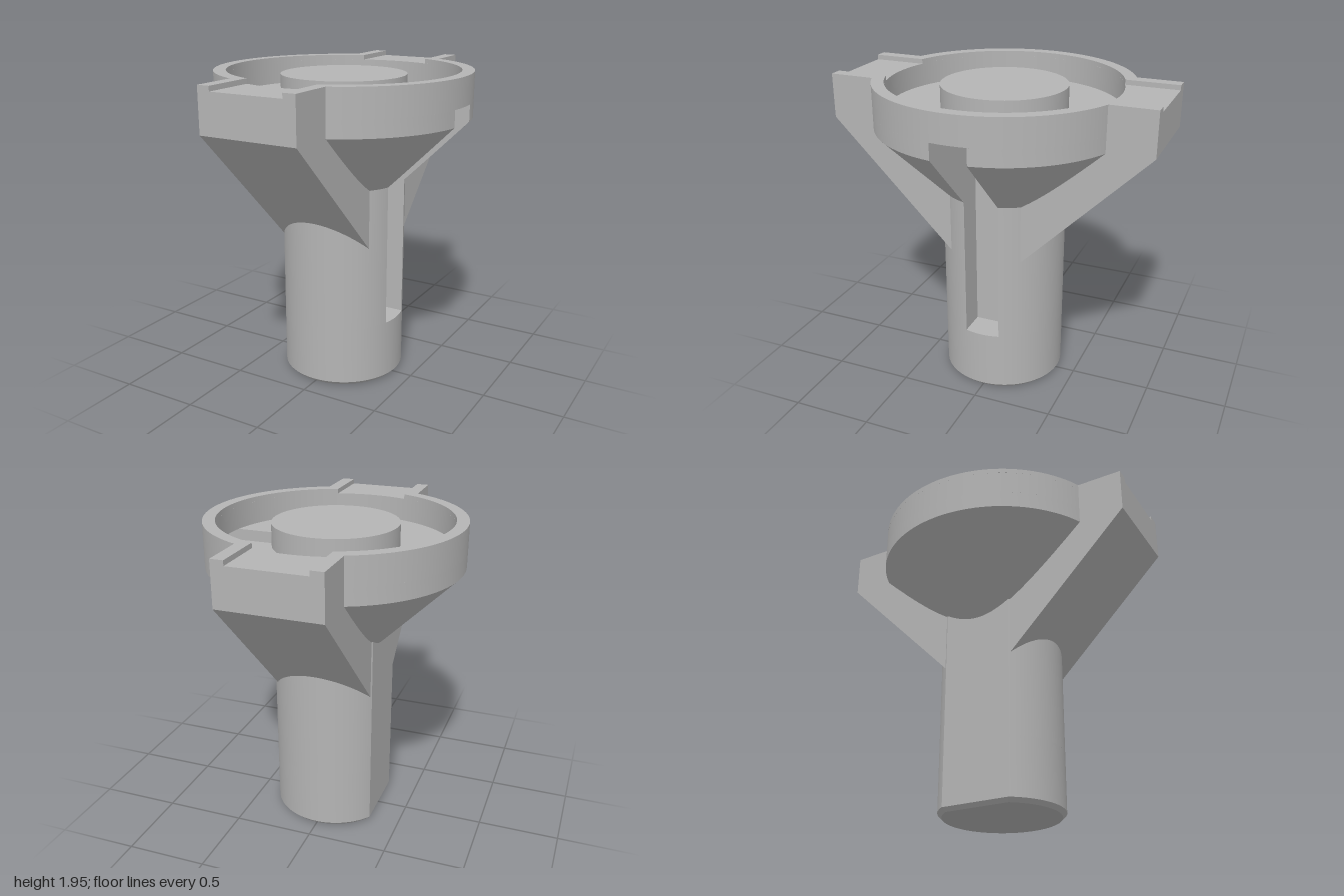
import * as THREE from 'three';
import { toCreasedNormals } from 'three/addons/utils/BufferGeometryUtils.js';

const R = 0.385, FLAT = 0.315;              // stem radius, distance to its flat
const RO = 0.785, RI = 0.71;                // cup rim radii
const SLOT = 0.11, SLOT_X = 0.2;            // slot half width, slot back wall
const Y_SLOT = 0.39, Y_RIM = 1.675, Y_FLOOR = 1.777, Y_NOTCH = 1.92, Y_TOP = 1.95;
const WING = 0.308, NOTCH = 0.23;           // half widths
const SEG = 96;

export function createModel() {
  const group = new THREE.Group();
  const grey = new THREE.MeshStandardMaterial({ color: 0xb4b4b4, side: THREE.DoubleSide });
  grey.name = 'plain grey';

  const add = (name, geometry) => {
    const mesh = new THREE.Mesh(geometry, grey);
    mesh.name = name;
    group.add(mesh);
    return mesh;
  };

  // Plan shape (x, -z) raised from y0 to y1
  const raise = (shape, y0, y1) => {
    const g = new THREE.ExtrudeGeometry(shape, { depth: y1 - y0, bevelEnabled: false, curveSegments: 64 });
    g.rotateX(-Math.PI / 2).translate(0, y0, 0);
    return g;
  };
  const crease = (g) => toCreasedNormals(g, 0.4);

  // Surface of revolution between two profile points, optionally open at the slot
  const turned = (name, r0, y0, r1, y1, slotted = false, rows = 1) => {
    const pts = [];
    for (let i = 0; i <= rows; i++) {
      const t = i / rows;
      pts.push(new THREE.Vector2(r0 + (r1 - r0) * t, y0 + (y1 - y0) * t));
    }
    const g = new THREE.LatheGeometry(pts, SEG);
    if (slotted) {
      const p = g.attributes.position, uv = g.attributes.uv;
      for (let i = 0; i < p.count; i++) {
        const r = Math.hypot(p.getX(i), p.getZ(i));
        const a = Math.asin(SLOT / r);
        const phi = Math.PI / 2 + a + uv.getX(i) * 2 * (Math.PI - a);
        p.setX(i, r * Math.sin(phi));
        p.setZ(i, r * Math.cos(phi));
      }
      g.computeVertexNormals();
    }
    return add(name, g);
  };

  // Stem: round with one flat, chamfered foot, slotted upper length
  const A = Math.acos(-FLAT / R), a = Math.asin(SLOT / R);
  const solid = new THREE.Shape();
  solid.absarc(0, 0, R, -A, A, false);
  solid.closePath();

  const foot = raise(solid, 0, 0.025);
  const fp = foot.attributes.position;
  for (let i = 0; i < fp.count; i++) {
    if (fp.getY(i) < 0.01) fp.setXYZ(i, fp.getX(i) * 0.935, 0, fp.getZ(i) * 0.935);
  }
  add('stemFoot', crease(foot));
  add('stemLower', crease(raise(solid, 0.025, Y_SLOT)));

  const slotted = new THREE.Shape();
  slotted.moveTo(SLOT_X, SLOT);
  slotted.lineTo(R * Math.cos(a), SLOT);
  slotted.absarc(0, 0, R, a, A, false);
  slotted.absarc(0, 0, R, -A, -a, false);
  slotted.lineTo(SLOT_X, -SLOT);
  slotted.closePath();
  add('stemSlotted', crease(raise(slotted, Y_SLOT, Y_FLOOR)));

  // Cup: cone, rim, floor
  turned('cupCone', 0.3, Y_RIM - RO + 0.3, RO, Y_RIM, true, 12);
  turned('rimOuterLower', RO, Y_RIM, RO, Y_FLOOR, true);
  turned('rimOuter', RO, Y_FLOOR, RO, Y_NOTCH);
  turned('rimStep', RO, Y_NOTCH, RI, Y_NOTCH);
  turned('rimInner', RI, Y_NOTCH, RI, Y_FLOOR);
  turned('rimUnderside', RI, Y_FLOOR, RO, Y_FLOOR);
  turned('cupFloor', RI, Y_FLOOR, R, Y_FLOOR, true);

  // Slot cheeks through the cone
  const cheek = new THREE.Shape();
  const across = (r) => Math.sqrt(r * r - SLOT * SLOT);
  cheek.moveTo(across(R), Y_FLOOR);
  for (let i = 0; i <= 8; i++) {
    const r = R + (RO - R) * i / 8;
    cheek.lineTo(across(r), Y_RIM - RO + r);
  }
  cheek.lineTo(across(RO), Y_FLOOR);
  cheek.closePath();
  for (const z of [-SLOT, SLOT]) add('slotCheek', new THREE.ShapeGeometry(cheek).translate(0, 0, z));

  // Centre boss
  add('centreBoss', new THREE.CylinderGeometry(R, R, Y_NOTCH - Y_FLOOR, SEG)
    .translate(0, (Y_NOTCH + Y_FLOOR) / 2, 0));

  // Wings: side profile (z, y) spread across x
  const profile = new THREE.Shape([
    [0.2, 0.88], [1, 1.68], [1, Y_NOTCH], [0.715, Y_NOTCH], [0.715, 1.77], [0.2, 1.77],
  ].map(([z, y]) => new THREE.Vector2(z, y)));
  for (const turn of [-1, 1]) {
    const g = new THREE.ExtrudeGeometry(profile, { depth: 2 * WING, bevelEnabled: false });
    g.translate(0, 0, -WING).rotateY(turn * Math.PI / 2);
    add(turn < 0 ? 'frontWing' : 'backWing', g);
  }

  // Raised lip: half rim with rails along both wings, on each side of the notch
  const zo = Math.sqrt(RO * RO - WING * WING), zi = Math.sqrt(RI * RI - NOTCH * NOTCH);
  const ao = Math.atan2(zo, WING), ai = Math.atan2(zi, NOTCH);
  const lip = new THREE.Shape();
  lip.moveTo(NOTCH, -1);
  lip.lineTo(WING, -1);
  lip.lineTo(WING, -zo);
  lip.absarc(0, 0, RO, -ao, ao, false);
  lip.lineTo(WING, 1);
  lip.lineTo(NOTCH, 1);
  lip.lineTo(NOTCH, zi);
  lip.absarc(0, 0, RI, ai, -ai, true);
  lip.closePath();
  const lipGeometry = crease(raise(lip, Y_NOTCH, Y_TOP));
  add('leftLip', lipGeometry);
  add('rightLip', lipGeometry.clone().rotateY(Math.PI));

  return group;
}
